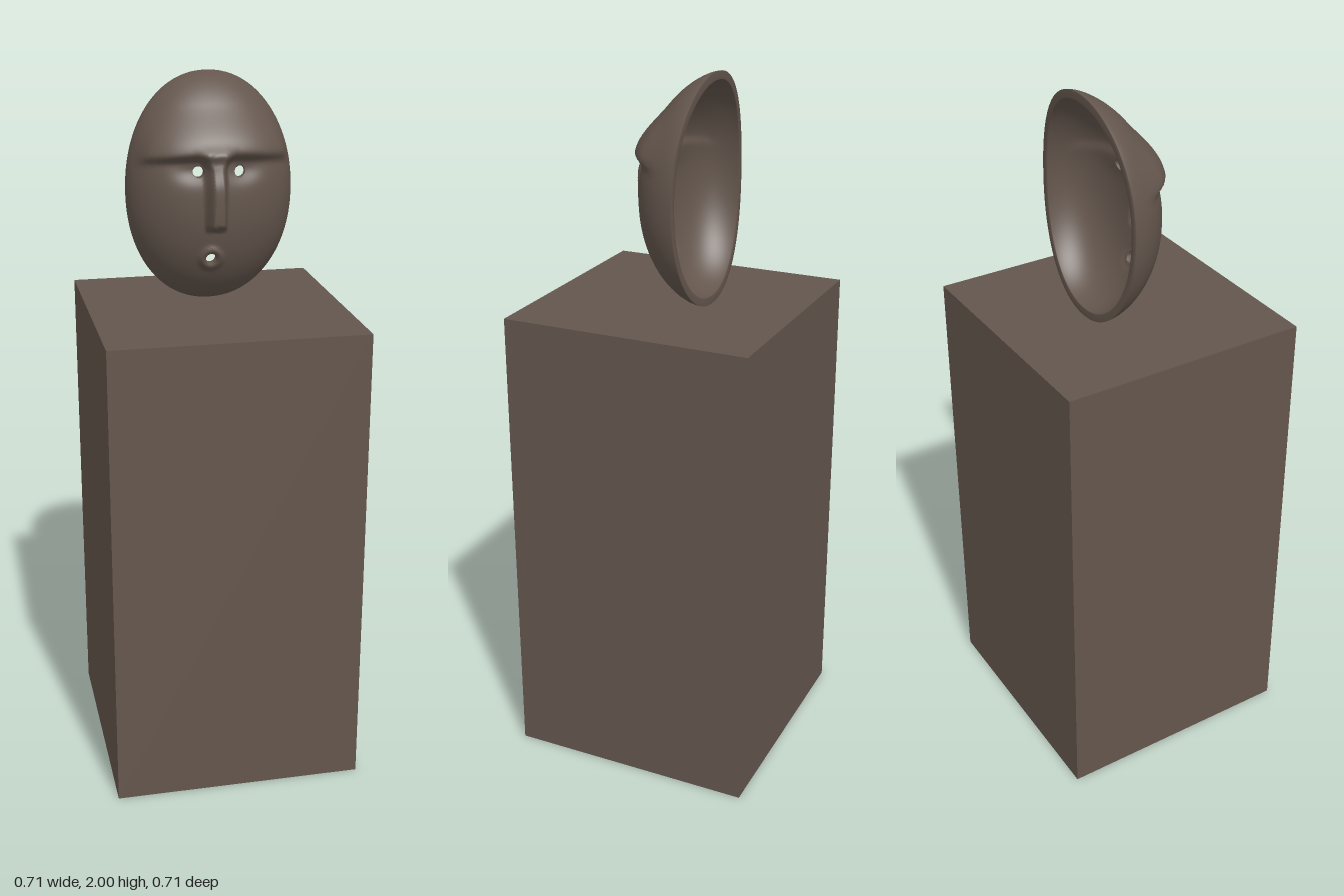
import * as THREE from 'three';

const { smoothstep } = THREE.MathUtils;
const W = 0.235, H = 0.32, CY = 1.68, K = 2.1; // mask outline
const RINGS = 64, SEGS = 144;
const HOLES = [
  { x: -0.057, y: 0.072, r: 0.015 },
  { x: 0.057, y: 0.07, r: 0.015 },
  { x: -0.02, y: -0.17, r: 0.015 },
];

// Egg-shaped dome: depth at a point of the outline, y measured from the mask centre
function dome(x, y, depth) {
  const t = Math.min(1, (Math.abs(x / W) ** K + Math.abs(y / H) ** K) ** (1 / K));
  const s = t > 0 ? Math.min(1, (y / H / t) ** 2) : 0;
  const power = 0.5 + (y > 0 ? 0.16 : 0.1) * s;
  const rim = -0.088 - (y > 0 ? 0.024 : 0.014) * s * t * t;
  return rim + depth * Math.max(0, 1 - t ** 2.4) ** power;
}

// Carved brow, nose, eye sockets and lips
function features(x, y) {
  const edge = 1 - smoothstep(Math.hypot(x / W, y / H), 0.85, 1);
  const by = y + 0.35 * x * x;
  const brow = 0.028 * smoothstep(by, 0.095, 0.125) * (1 - smoothstep(by, 0.13, 0.24));
  const nx = Math.abs(x + 0.01);
  const width = 0.034 + 0.03 * smoothstep(y, 0.075, 0.13);
  const nose = (0.044 - 0.012 * smoothstep(y, 0.03, 0.12))
    * (1 - smoothstep(nx, width * 0.35, width))
    * smoothstep(y, -0.092, -0.07) * (1 - smoothstep(y, 0.09, 0.15));
  let z = brow + nose;
  for (const side of [-1, 1]) {
    z -= 0.013 * Math.exp(-(((x - side * 0.07) / 0.05) ** 2) - ((y - 0.075) / 0.03) ** 2);
  }
  const lip = Math.hypot(x + 0.02, y + 0.17);
  z += 0.009 * Math.exp(-(((lip - 0.025) / 0.009) ** 2));
  return z * edge;
}

// Hollow shell on a polar grid, with round holes opened through both layers
function maskGeometry() {
  const front = [], back = [], snapped = [];
  for (let j = 0; j <= RINGS; j++) {
    const t = Math.sin((j / RINGS) * Math.PI / 2);
    for (let i = 0; i < SEGS; i++) {
      const a = (i / SEGS) * Math.PI * 2, c = Math.cos(a), s = Math.sin(a);
      let x = W * t * Math.sign(c) * Math.abs(c) ** (2 / K);
      let y = H * t * Math.sign(s) * Math.abs(s) ** (2 / K);
      let hit = -1;
      HOLES.forEach((h, n) => {
        const d = Math.hypot(x - h.x, y - h.y);
        if (d < h.r) {
          const f = h.r / Math.max(d, 1e-5);
          x = h.x + (x - h.x) * f;
          y = h.y + (y - h.y) * f;
          hit = n;
        }
      });
      snapped.push(hit);
      front.push(x, CY + y, dome(x, y, 0.168) + features(x, y));
      const k = 1 - 0.07 * t ** 4;
      back.push(x * k, CY + y * k, dome(x, y, 0.145) + 0.3 * features(x, y));
    }
  }
  const n = snapped.length, index = [];
  const id = (j, i) => (j === 0 ? 0 : j * SEGS + ((i + SEGS) % SEGS));
  const corners = (j, i) => [id(j, i), id(j + 1, i), id(j + 1, i + 1), id(j, i + 1)];
  const open = (j, i) => corners(j, i).every((v) => snapped[v] >= 0);
  const quad = (a, b, c, d) => {
    if (a !== d) index.push(a, c, d);
    index.push(a, b, c);
  };
  for (let j = 0; j < RINGS; j++) {
    for (let i = 0; i < SEGS; i++) {
      const [a, b, c, d] = corners(j, i);
      if (!open(j, i)) {
        quad(a, b, c, d);
        index.push(n + a, n + c, n + b);
        if (a !== d) index.push(n + a, n + d, n + c);
      } else {
        // walls of the holes
        const sides = [[a, b, j, i - 1], [b, c, j + 1, i], [c, d, j, i + 1], [d, a, j - 1, i]];
        for (const [p, q, nj, ni] of sides) {
          if (!open(nj, ni)) quad(p, q, n + q, n + p);
        }
      }
      // rim
      if (j === RINGS - 1) quad(c, b, n + b, n + c);
    }
  }
  const g = new THREE.BufferGeometry();
  g.setAttribute('position', new THREE.Float32BufferAttribute([...front, ...back], 3));
  g.setIndex(index);
  g.computeVertexNormals();
  return g;
}

export function createModel() {
  const group = new THREE.Group();
  const brown = new THREE.MeshStandardMaterial({ color: 0x64564d });
  brown.name = 'dark brown';

  // Plinth
  const plinth = new THREE.Mesh(new THREE.BoxGeometry(0.714, 1.36, 0.714), brown);
  plinth.name = 'plinth';
  plinth.position.y = 0.68;

  // Carved face mask
  const mask = new THREE.Mesh(maskGeometry(), brown);
  mask.name = 'mask';

  group.add(plinth, mask);
  return group;
}
